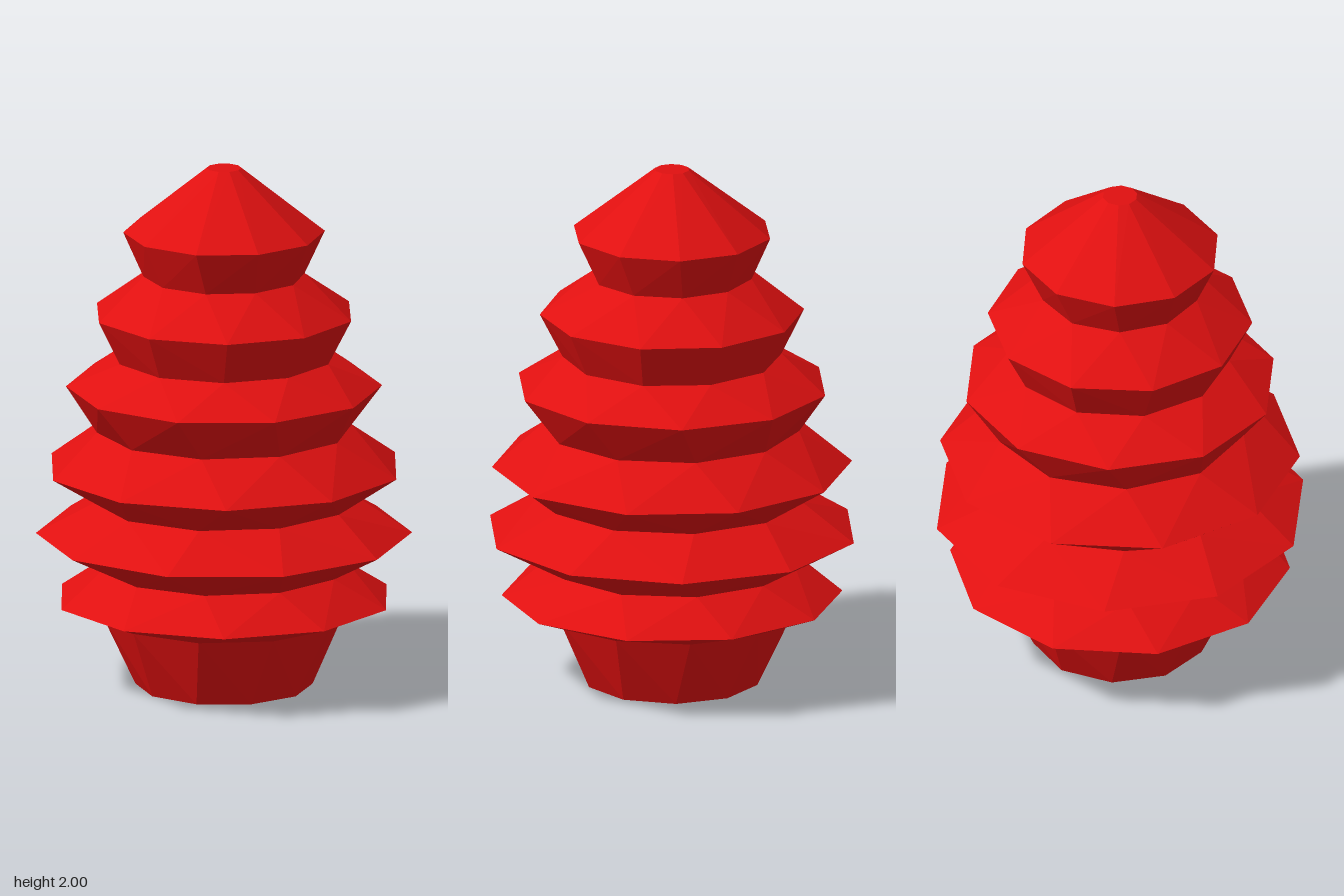
import * as THREE from 'three';

const SIDES = 10;

// Rings from bottom to top: [height, radius, twist in degrees]
const RINGS = [
  [0, 0.333, 0],
  [0.27, 0.457, 6],
  [0.335, 0.641, 18],
  [0.457, 0.464, 9],
  [0.585, 0.707, 0.5],
  [0.715, 0.493, 7],
  [0.842, 0.678, 18.8],
  [0.99, 0.482, 8],
  [1.155, 0.594, 1],
  [1.27, 0.412, 18],
  [1.44, 0.498, 19.5],
  [1.585, 0.304, 5],
  [1.753, 0.379, 2],
  [2, 0.066, 0],
];

// Corner i of a ring, counted from the +x side toward the front
function corner([y, r, twist], i) {
  const a = (i / SIDES) * Math.PI * 2 - THREE.MathUtils.degToRad(twist);
  return new THREE.Vector3(r * Math.cos(a), y, r * Math.sin(a));
}

function facetedMesh(name, triangles, material) {
  const geometry = new THREE.BufferGeometry().setFromPoints(triangles);
  geometry.computeVertexNormals(); // unshared corners keep every facet flat
  const mesh = new THREE.Mesh(geometry, material);
  mesh.name = name;
  return mesh;
}

// Band of facets between two rings, split along the shorter diagonal
function band(lower, upper) {
  const out = [];
  for (let i = 0; i < SIDES; i++) {
    const a = corner(lower, i), b = corner(lower, i + 1);
    const c = corner(upper, i), d = corner(upper, i + 1);
    if (a.distanceTo(d) < b.distanceTo(c)) out.push(a, c, d, a, d, b);
    else out.push(a, c, b, b, c, d);
  }
  return out;
}

// Flat end closing a ring
function cap(ring, facingUp) {
  const out = [];
  const centre = new THREE.Vector3(0, ring[0], 0);
  for (let i = 0; i < SIDES; i++) {
    const a = corner(ring, i), b = corner(ring, i + 1);
    out.push(centre, facingUp ? b : a, facingUp ? a : b);
  }
  return out;
}

export function createModel() {
  const group = new THREE.Group();
  group.name = 'tieredBush';
  const red = new THREE.MeshStandardMaterial({ color: 0xe01010 });
  red.name = 'red';

  // Tapered base with its underside
  group.add(facetedMesh('base', [...cap(RINGS[0], false), ...band(RINGS[0], RINGS[1])], red));

  // Six tiers, each flaring out and drawing back in; the last ends in a flat tip
  for (let t = 0; t < 6; t++) {
    const [low, rim, high] = RINGS.slice(1 + t * 2, 4 + t * 2);
    const triangles = [...band(low, rim), ...band(rim, high)];
    if (t === 5) triangles.push(...cap(high, true));
    group.add(facetedMesh(`tier${t + 1}`, triangles, red));
  }
  return group;
}
